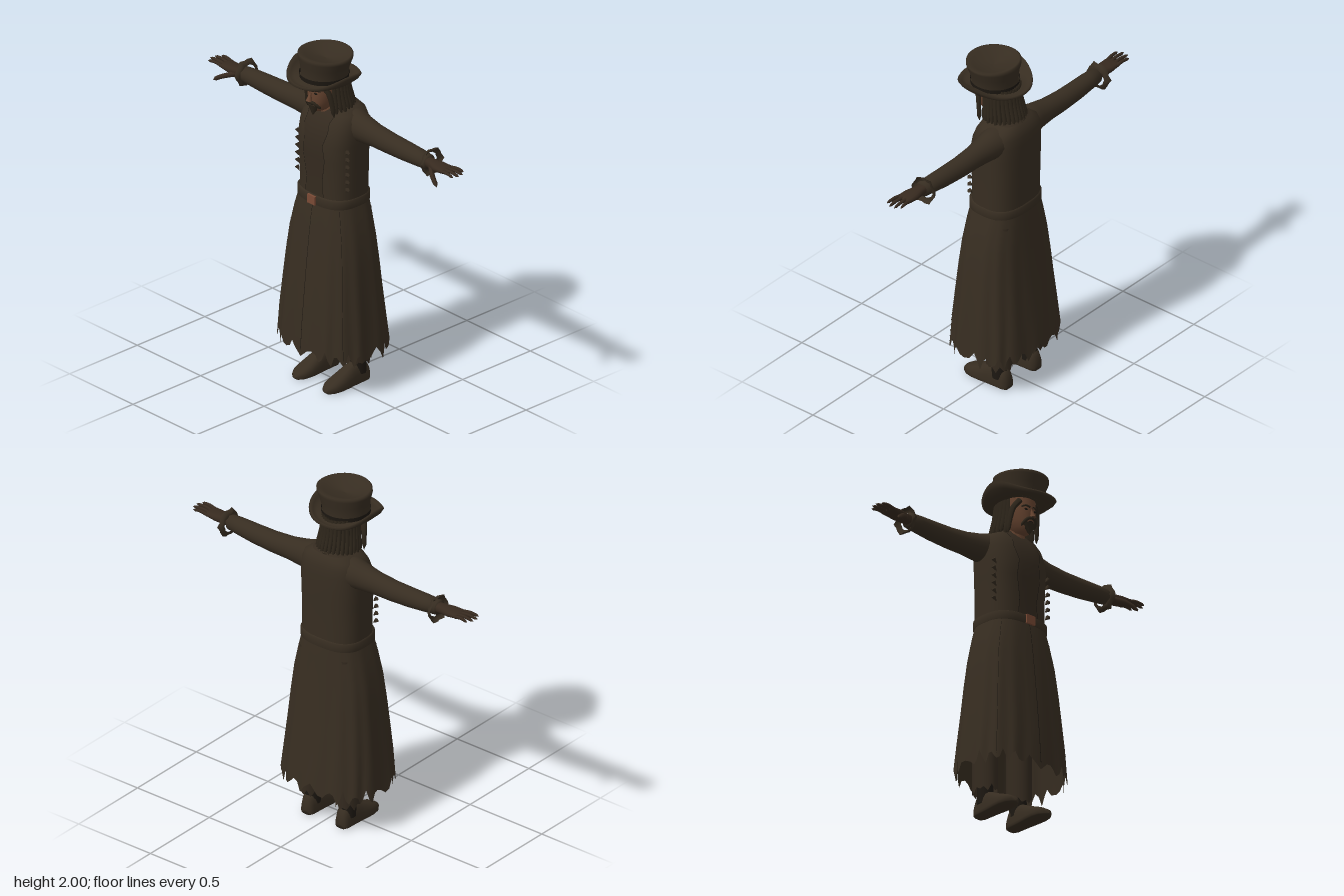
import * as THREE from 'three';

const mat = (name, color) => {
  const m = new THREE.MeshStandardMaterial({ color, side: THREE.DoubleSide });
  m.name = name;
  return m;
};
const power = (v, p) => Math.sign(v) * Math.abs(v) ** p;
const TAU = Math.PI * 2;

// Joins rows of points into a skin; fn(i, j) gives [x, y, z] for column i of row j
function skin(fn, cols, rows, closed = true) {
  const pos = [], index = [], w = closed ? cols : cols + 1;
  for (let j = 0; j < rows; j++) for (let i = 0; i < w; i++) pos.push(...fn(i, j));
  for (let j = 0; j < rows - 1; j++) for (let i = 0; i < cols; i++) {
    const a = j * w + i, b = j * w + (i + 1) % w;
    index.push(a, b, b + w, a, b + w, a + w);
  }
  const g = new THREE.BufferGeometry();
  g.setAttribute('position', new THREE.Float32BufferAttribute(pos, 3));
  g.setIndex(index);
  g.computeVertexNormals();
  return g;
}

// Upright ring from [y, halfWidth, front, back]; angle 0 is the front
function bodyPoint([y, hx, zf, zb], a, grow = 1, p = 0.72) {
  const c = (zf + zb) / 2, h = (zf - zb) / 2;
  return [hx * grow * power(Math.sin(a), p), y, c + h * grow * power(Math.cos(a), p)];
}

function tube(points, r, sides = 6) {
  const curve = new THREE.CatmullRomCurve3(points.map(p => new THREE.Vector3(...p)));
  const g = new THREE.TubeGeometry(curve, 7, r, sides), pos = g.attributes.position;
  // narrow the tube towards its far end
  for (let j = 0; j <= 7; j++) {
    const c = curve.getPointAt(j / 7), k = j === 7 ? 0.05 : 1 - 0.35 * (j / 7);
    for (let i = 0; i <= sides; i++) {
      const n = j * (sides + 1) + i, v = new THREE.Vector3().fromBufferAttribute(pos, n);
      v.sub(c).multiplyScalar(k).add(c);
      pos.setXYZ(n, v.x, v.y, v.z);
    }
  }
  g.computeVertexNormals();
  return g;
}

export function createModel() {
  const coat = mat('dark brown cloth', 0x372d21), shirt = mat('shirt brown', 0x342a1f);
  const hair = mat('hair brown', 0x2d251a), skinTone = mat('face skin', 0x65432f);
  const glove = mat('hand brown', 0x372a1f), dark = mat('shadow brown', 0x1c1711);
  const copper = mat('copper', 0x7a4a35);
  const model = new THREE.Group();
  const add = (name, geo, m, parent = model, x = 0, y = 0, z = 0) => {
    const mesh = new THREE.Mesh(geo, m);
    mesh.name = name;
    mesh.position.set(x, y, z);
    parent.add(mesh);
    return mesh;
  };

  // Torso with the open coat wrapped round it
  const torso = [
    [1.11, .183, .125, -.163], [1.25, .183, .124, -.163], [1.38, .185, .13, -.166],
    [1.47, .188, .134, -.168], [1.55, .186, .118, -.168], [1.60, .178, .098, -.165],
    [1.64, .158, .075, -.155], [1.665, .11, .055, -.135], [1.69, .065, .045, -.09], [1.73, .05, .04, -.06]];
  add('shirt', skin((i, j) => bodyPoint(torso[j], i / 48 * TAU), 48, torso.length), shirt);
  const gap = [.26, .2, .3, .24, .36, .34, .5, .6];
  add('coatBody', skin((i, j) => {
    const g = gap[j];
    return bodyPoint(torso[j], g + (TAU - 2 * g) * i / 56, 1.035);
  }, 56, 8, false), coat);
  // Lapel edges beside the opening
  for (const s of [-1, 1]) {
    add('coatEdge', skin((i, j) => bodyPoint(torso[j], s * (gap[j] + i * .018), 1.042), 1, 7, false), dark);
    for (let k = 0; k < 6; k++) {
      const knot = add('sideKnot', new THREE.ConeGeometry(.014, .035, 5), coat, model, s * .188, 1.22 + k * .045, .07);
      knot.rotation.z = s * 2.4;
    }
  }

  // Belt and buckle
  const belt = [[1.1, .188, .136, -.168], [1.105, .198, .145, -.176], [1.15, .198, .145, -.176], [1.157, .186, .134, -.166]];
  add('belt', skin((i, j) => bodyPoint(belt[j], i / 48 * TAU), 48, 4), coat);
  add('buckle', new THREE.BoxGeometry(.06, .052, .012), copper, model, 0, 1.128, .147);

  // Long coat skirt with soft folds and a torn hem
  const skirt = [[.25, .305, .225, -.248], [.42, .292, .214, -.232], [.6, .275, .198, -.213],
    [.75, .261, .184, -.2], [.9, .243, .168, -.186], [1.03, .214, .152, -.176], [1.12, .19, .137, -.168]];
  const tooth = [.21, .245, .275, .24];
  const skirtPoint = (a, j, grow = 1) =>
    bodyPoint(skirt[j], a, grow * (1 + .022 * Math.cos(a * 14) * (1 - j / 6)));
  add('coatSkirt', skin((i, j) => {
    const p = skirtPoint(i / 84 * TAU, j);
    if (j === 0) p[1] = tooth[i % 4] + .014 * Math.sin(i * 2.3);
    return p;
  }, 84, 7), coat);
  for (const a of [0, .9, -.9])
    add('skirtSeam', skin((i, j) => skirtPoint(a + (i - .5) * (a ? .012 : .002), j, 1.004), 1, 7, false), dark);

  // Arm, cuff, hand, leg and shoe of one side
  function makeSide(s) {
    const side = new THREE.Group();
    side.name = s > 0 ? 'leftLimbs' : 'rightLimbs';
    side.scale.x = s;
    model.add(side);

    // x, middle y, half height, middle z, half depth
    const arm = [[.07, 1.58, .075, -.055, .085], [.15, 1.567, .09, -.052, .085], [.2, 1.563, .079, -.05, .072],
      [.3, 1.556, .066, -.05, .06], [.42, 1.551, .06, -.05, .056], [.55, 1.552, .055, -.047, .053],
      [.65, 1.555, .049, -.043, .05], [.725, 1.556, .043, -.04, .044], [.726, 1.556, 0, -.04, 0]];
    add('sleeve', skin((i, j) => {
      const [x, y, ry, z, rz] = arm[j], a = i / 20 * TAU;
      return [x, y - ry * Math.sin(a), z + rz * Math.cos(a)];
    }, 20, arm.length), coat, side);

    // Ragged cuff standing out round the wrist
    add('cuff', skin((i, j) => {
      const a = i / 18 * TAU, r = [.05, .07, .073][j] + (i % 3 === 0 ? .011 * j / 2 : 0);
      return [[.712, .715, .735][j] + (i % 2) * .006, 1.557 - r * Math.sin(a), -.055 + r * Math.cos(a)];
    }, 18, 3), coat, side);

    const palm = [[.70, 1.556, .026, -.04, .028], [.76, 1.558, .026, -.038, .034], [.81, 1.56, .023, -.036, .046],
      [.86, 1.564, .016, -.036, .047], [.885, 1.565, .008, -.036, .042], [.887, 1.565, 0, -.036, 0]];
    add('palm', skin((i, j) => {
      const [x, y, ry, z, rz] = palm[j], a = i / 16 * TAU;
      return [x, y - ry * power(Math.sin(a), .8), z + rz * power(Math.cos(a), .8)];
    }, 16, palm.length), glove, side);
    [[-.072, .955, -.082], [-.049, .978, -.054], [-.025, .982, -.022], [-.002, .965, .008]].forEach(([z, x, tip]) =>
      add('finger', tube([[.86, 1.563, z], [.91, 1.572, (z + tip) / 2], [x, 1.566, tip]], .0115), glove, side));
    add('thumb', tube([[.765, 1.55, -.02], [.81, 1.535, .018], [.85, 1.515, .038], [.882, 1.492, .048]], .018), glove, side);

    // Trouser leg with torn end
    add('trouserLeg', skin((i, j) => {
      const a = i / 20 * TAU, y = j ? [0, .3, 1.05][j] : .125 + (i % 2) * .025 + .01 * Math.sin(i * 1.9);
      return [.125 + .064 * Math.sin(a), y, -.078 + .078 * Math.cos(a)];
    }, 20, 3), shirt, side);
    add('ankle', new THREE.CylinderGeometry(.043, .048, .14, 14), dark, side, .122, .13, -.08);

    // z, half width, height
    const shoe = [[-.143, 0, .05], [-.142, .032, .085], [-.12, .044, .12], [-.07, .046, .135], [-.02, .049, .122],
      [.03, .054, .096], [.08, .056, .074], [.125, .048, .055], [.153, .028, .038], [.163, 0, .02]];
    add('shoe', skin((i, j) => {
      const [z, w, h] = shoe[j], a = i / 20 * TAU, up = Math.sin(a);
      const y = w ? (up > 0 ? .022 + (h - .022) * power(up, .85) : .022 + .022 * power(up, .4)) : h / 2;
      return [.12 + w * power(Math.cos(a), .75), y, z];
    }, 20, shoe.length), coat, side);

    // Eye, brow, ear and half moustache
    const eye = add('eye', new THREE.SphereGeometry(.012, 10, 6), dark, side, .032, 1.778, .148);
    eye.scale.set(1, .5, .4);
    add('brow', tube([[.012, 1.792, .158], [.035, 1.799, .15], [.058, 1.79, .132]], .007), hair, side);
    add('moustache', tube([[0, 1.727, .168], [.025, 1.722, .158], [.042, 1.7, .138], [.045, 1.682, .12]], .011), hair, side);
    add('sideHair', tube([[.055, 1.83, .125], [.085, 1.79, .105], [.098, 1.72, .09], [.105, 1.635, .08]], .018), hair, side);
  }
  makeSide(1);
  makeSide(-1);

  // Head: [y, half width, front, back]
  const head = [[1.655, 0, .1, .1], [1.66, .032, .132, .03], [1.685, .055, .147, -.03], [1.72, .07, .152, -.055],
    [1.76, .08, .153, -.065], [1.80, .085, .152, -.07], [1.86, .085, .145, -.07]];
  add('face', skin((i, j) => bodyPoint(head[j], i / 28 * TAU, 1, .9), 28, head.length), skinTone);
  const nose = add('nose', new THREE.ConeGeometry(.018, .06, 8), skinTone, model, 0, 1.758, .16);
  nose.rotation.x = -.25;
  const beard = add('beard', new THREE.ConeGeometry(.042, .065, 10), hair, model, 0, 1.667, .135);
  beard.rotation.x = Math.PI - .15;
  beard.scale.z = .75;
  const mouth = add('mouth', new THREE.SphereGeometry(.016, 10, 6), dark, model, 0, 1.709, .152);
  mouth.scale.set(1, .3, .4);
  add('neck', new THREE.CylinderGeometry(.055, .065, .12, 16), skinTone, model, 0, 1.67, .015);

  // Hair cap and hanging locks
  const cap = [[1.66, .08, .03, -.1], [1.75, .09, .06, -.088], [1.86, .092, .07, -.075]];
  add('hairBack', skin((i, j) => bodyPoint(cap[j], i / 24 * TAU, 1, .9), 24, 3), hair);
  for (let k = 0; k < 21; k++) {
    const a = 1.0 + (TAU - 2) * k / 20, sx = Math.sin(a), cz = Math.cos(a), end = 1.635 + .016 * Math.sin(k * 2.7);
    add('hairLock', tube([[.088 * sx, 1.86, .01 + .09 * cz], [.1 * sx, 1.76, .005 + .1 * cz],
      [.112 * sx, 1.69, -.005 + .112 * cz], [.12 * sx, end, -.012 + .12 * cz]], .0165), hair);
  }

  // Hat: flared crown with dented top, band and curled brim
  const crown = [[1.84, .128], [1.88, .13], [1.93, .138], [1.975, .152], [1.992, .152], [1.997, .142], [1.985, .115], [1.968, .06], [1.96, 0]];
  add('hatCrown', skin((i, j) => {
    const a = i / 40 * TAU, [y, r] = crown[j], lean = .014 * (y - 1.84) / .16;
    return [lean + r * 1.03 * Math.sin(a), y + (j > 3 && j < 8 ? .003 * Math.cos(2 * a) : 0), .057 + r * .96 * Math.cos(a)];
  }, 40, crown.length), coat);
  add('hatBand', new THREE.CylinderGeometry(.136, .134, .028, 40, 1, true), dark, model, .002, 1.861, .057);
  const brim = [[.09, 1.848, 0], [.135, 1.838, 0], [.165, 1.834, .012], [.19, 1.838, .032], [.203, 1.85, .05], [.196, 1.862, .052],
    [.18, 1.85, .036], [.16, 1.846, .016], [.128, 1.85, 0]];
  add('hatBrim', skin((i, j) => {
    const a = i / 48 * TAU, [r, y, curl] = brim[j], sx = Math.sin(a) ** 2;
    return [r * Math.sin(a), y + curl * (sx ** 2 - .15 * (1 - sx)) + .003 * Math.sin(3 * a) * (r > .16 ? 1 : 0), .057 + r * Math.cos(a)];
  }, 48, brim.length), coat);

  // Raised collar behind the neck
  add('collar', skin((i, j) => {
    const a = .7 + (TAU - 1.4) * i / 30, r = [.125, .105, .115][j];
    return [r * Math.sin(a), [1.645, 1.675, 1.66][j], -.035 + r * .9 * Math.cos(a)];
  }, 30, 3, false), coat);

  return model;
}
